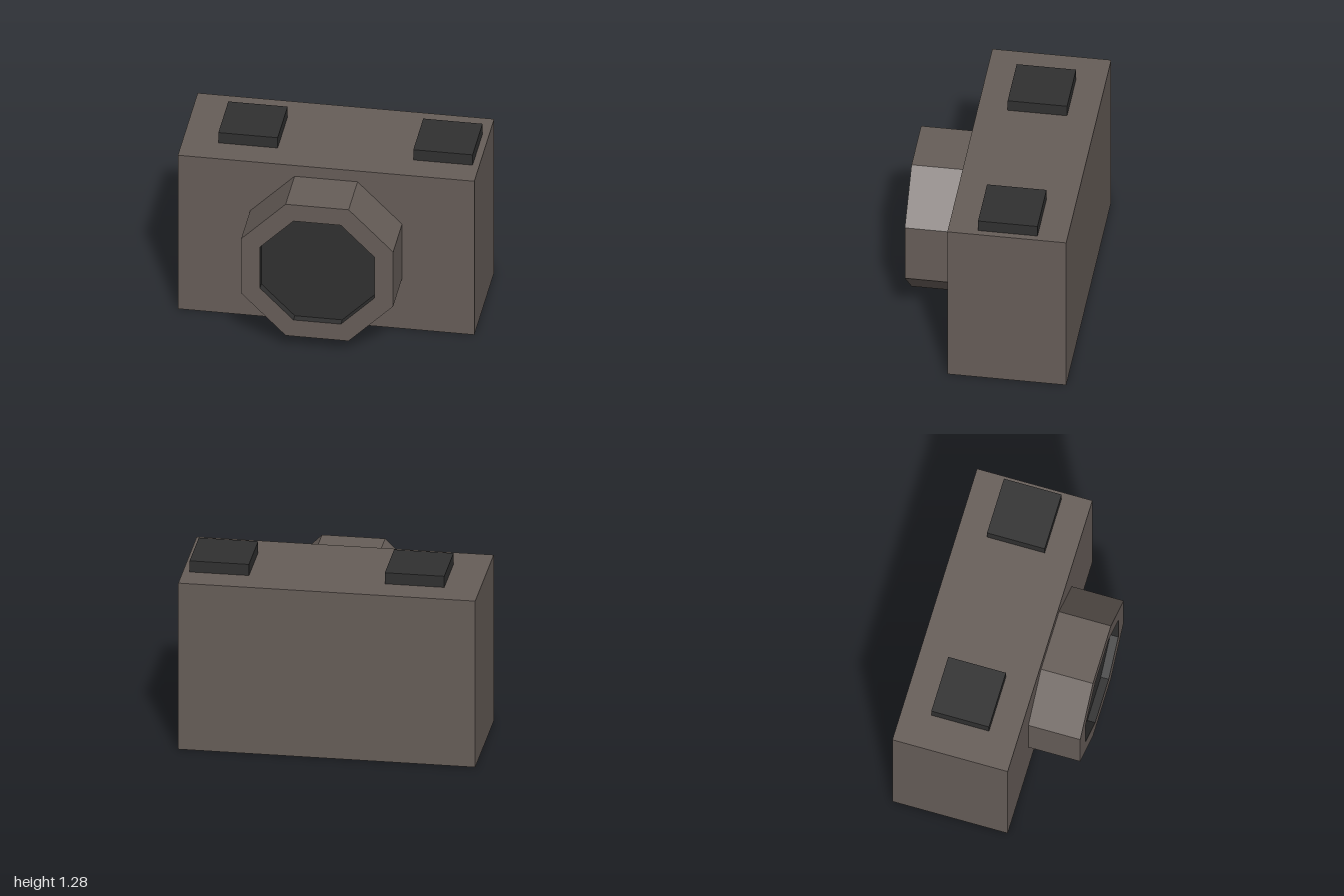
import * as THREE from 'three';

export function createModel() {
  const group = new THREE.Group();
  const casing = new THREE.MeshStandardMaterial({ color: 0x665d58 });
  casing.name = 'warm grey casing';
  const black = new THREE.MeshStandardMaterial({ color: 0x303030 });
  black.name = 'soft black';

  const add = (name, geometry, material, x, y, z) => {
    const mesh = new THREE.Mesh(geometry, material);
    mesh.name = name;
    mesh.position.set(x, y, z);
    group.add(mesh);
  };

  // Eight-sided faceted shell along z, from [radius, z] profile points
  const octagon = (profile) => {
    const points = profile.map(([r, z]) => new THREE.Vector2(r, z));
    const geometry = new THREE.LatheGeometry(points, 8, Math.PI / 8)
      .rotateX(Math.PI / 2).toNonIndexed();
    geometry.computeVertexNormals();
    return geometry;
  };

  add('body', new THREE.BoxGeometry(2, 1.2, 0.8), casing, 0, 0.6, -0.18);

  // Top buttons
  add('rightButton', new THREE.BoxGeometry(0.4, 0.08, 0.4), black, -0.56, 1.24, -0.18);
  add('leftButton', new THREE.BoxGeometry(0.4, 0.08, 0.4), black, 0.755, 1.24, -0.18);

  // Lens barrel with a flat front rim, and the recessed glass inside it
  const outer = 0.555, inner = 0.418, front = 0.36, glass = 0.305;
  add('lensBarrel', octagon([[outer, 0], [outer, front], [inner, front]]), casing, 0, 0.603, 0.22);
  add('lensGlass', octagon([[inner, front], [inner, glass], [0, glass]]), black, 0, 0.603, 0.22);

  return group;
}
